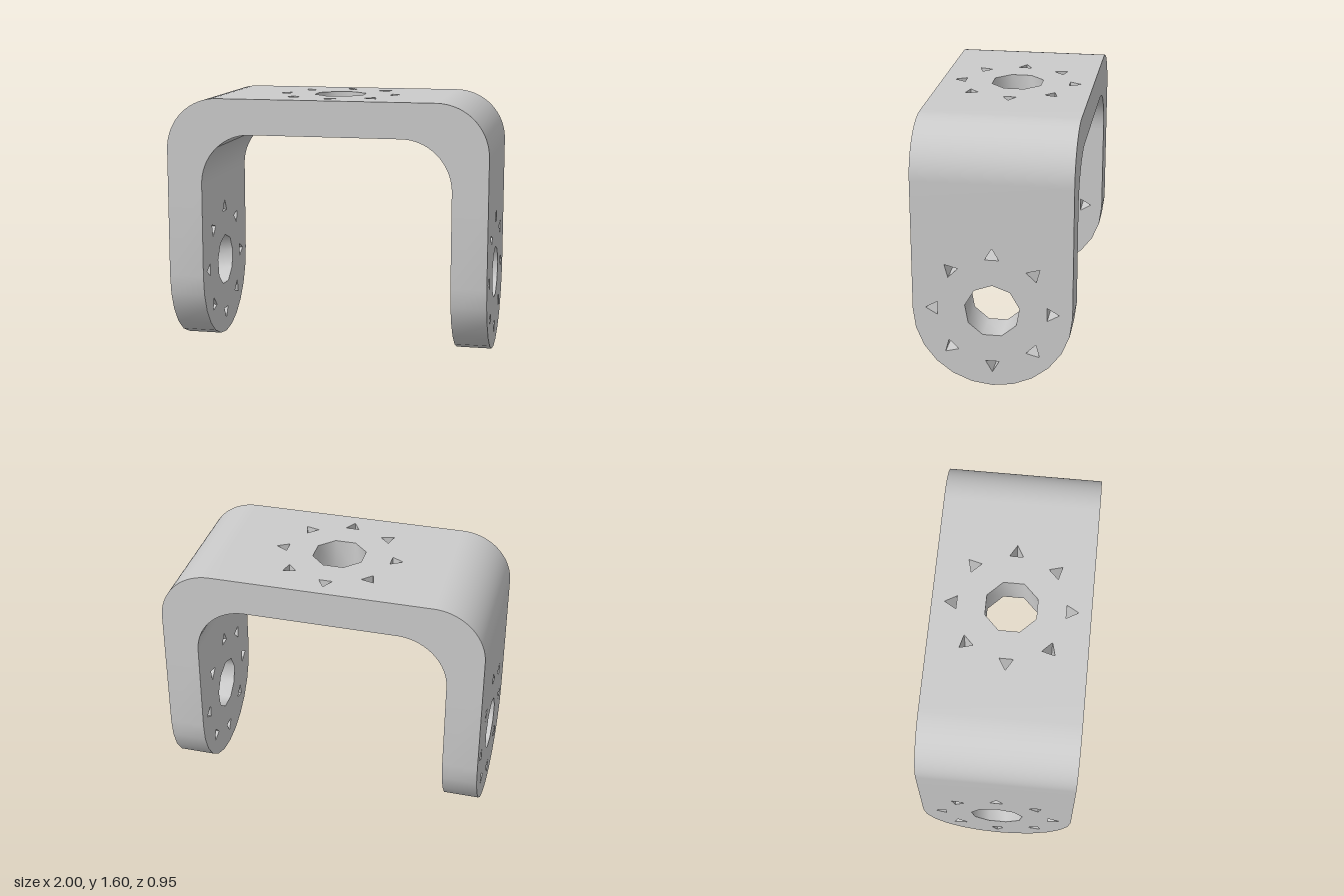
import * as THREE from 'three';
import { toCreasedNormals } from 'three/addons/utils/BufferGeometryUtils.js';

const HALF_WIDTH = 0.475;   // half depth of the strap along z
const TOP = 1.595, UNDER = 1.375;
const OUTER = 1, INNER = 0.78;
const LEG_TOP = 1.06;       // joint between leg and bend
const PLATE_END = 0.47;     // joint between bend and top plate

// Regular polygon hole
function polygon(cx, cy, r, sides, start) {
  const pts = [];
  for (let i = 0; i < sides; i++) {
    const a = start + (i / sides) * Math.PI * 2;
    pts.push(new THREE.Vector2(cx + r * Math.cos(a), cy + r * Math.sin(a)));
  }
  return new THREE.Path(pts);
}

// Large centre bore ringed by eight small three-sided screw holes
function addHorn(shape, cy, sides, start) {
  shape.holes.push(polygon(0, cy, 0.165, sides, start));
  for (let i = 0; i < 8; i++) {
    const a = (i / 8) * Math.PI * 2;
    shape.holes.push(polygon(0.35 * Math.cos(a), cy + 0.35 * Math.sin(a), 0.048, 3, a));
  }
}

const extrude = (shape, depth, curveSegments = 12) =>
  new THREE.ExtrudeGeometry(shape, { depth, bevelEnabled: false, curveSegments });

// Remove the hidden walls where neighbouring parts meet, then set normals
function finish(geometry) {
  const p = geometry.attributes.position;
  const near = (a, b) => Math.abs(a - b) < 1e-4;
  const kept = [];
  for (let i = 0; i < p.count; i += 3) {
    const tri = [i, i + 1, i + 2];
    const hidden = tri.every(j => near(p.getY(j), LEG_TOP)) ||
      tri.every(j => near(p.getX(j), PLATE_END)) ||
      tri.every(j => near(p.getX(j), -PLATE_END));
    if (!hidden) tri.forEach(j => kept.push(p.getX(j), p.getY(j), p.getZ(j)));
  }
  const out = new THREE.BufferGeometry();
  out.setAttribute('position', new THREE.Float32BufferAttribute(kept, 3));
  return toCreasedNormals(out, 0.9);
}

export function createModel() {
  const group = new THREE.Group();
  const material = new THREE.MeshStandardMaterial({ color: 0xcccccc });
  const add = (name, geometry) => {
    const mesh = new THREE.Mesh(finish(geometry), material);
    mesh.name = name;
    group.add(mesh);
  };

  // Leg outline with a round lower end
  const leg = new THREE.Shape();
  leg.moveTo(HALF_WIDTH, LEG_TOP);
  leg.lineTo(-HALF_WIDTH, LEG_TOP);
  leg.lineTo(-HALF_WIDTH, HALF_WIDTH);
  leg.absarc(0, HALF_WIDTH, HALF_WIDTH, Math.PI, Math.PI * 2, false);
  addHorn(leg, 0.487, 9, Math.PI / 2);

  // Bend profile: outer and inner quarter rounds
  const bend = new THREE.Shape();
  bend.moveTo(INNER, LEG_TOP);
  bend.lineTo(OUTER, LEG_TOP);
  bend.lineTo(OUTER, TOP - 0.32);
  bend.absarc(OUTER - 0.32, TOP - 0.32, 0.32, 0, Math.PI / 2, false);
  bend.lineTo(PLATE_END, TOP);
  bend.lineTo(PLATE_END, UNDER);
  bend.absellipse(PLATE_END, LEG_TOP, INNER - PLATE_END, UNDER - LEG_TOP, Math.PI / 2, 0, true);

  // Two mirrored sides
  for (const [side, x, turn] of [['left', INNER, 0], ['right', -OUTER, Math.PI]]) {
    add(side + 'Leg', extrude(leg, OUTER - INNER, 6).rotateY(Math.PI / 2).translate(x, 0, 0));
    add(side + 'Bend', extrude(bend, HALF_WIDTH * 2).translate(0, 0, -HALF_WIDTH).rotateY(turn));
  }

  // Top plate
  const plate = new THREE.Shape([
    new THREE.Vector2(-PLATE_END, -HALF_WIDTH), new THREE.Vector2(PLATE_END, -HALF_WIDTH),
    new THREE.Vector2(PLATE_END, HALF_WIDTH), new THREE.Vector2(-PLATE_END, HALF_WIDTH),
  ]);
  addHorn(plate, 0, 8, Math.PI / 8);
  add('topPlate', extrude(plate, TOP - UNDER).rotateX(-Math.PI / 2).translate(0, UNDER, 0));

  return group;
}
